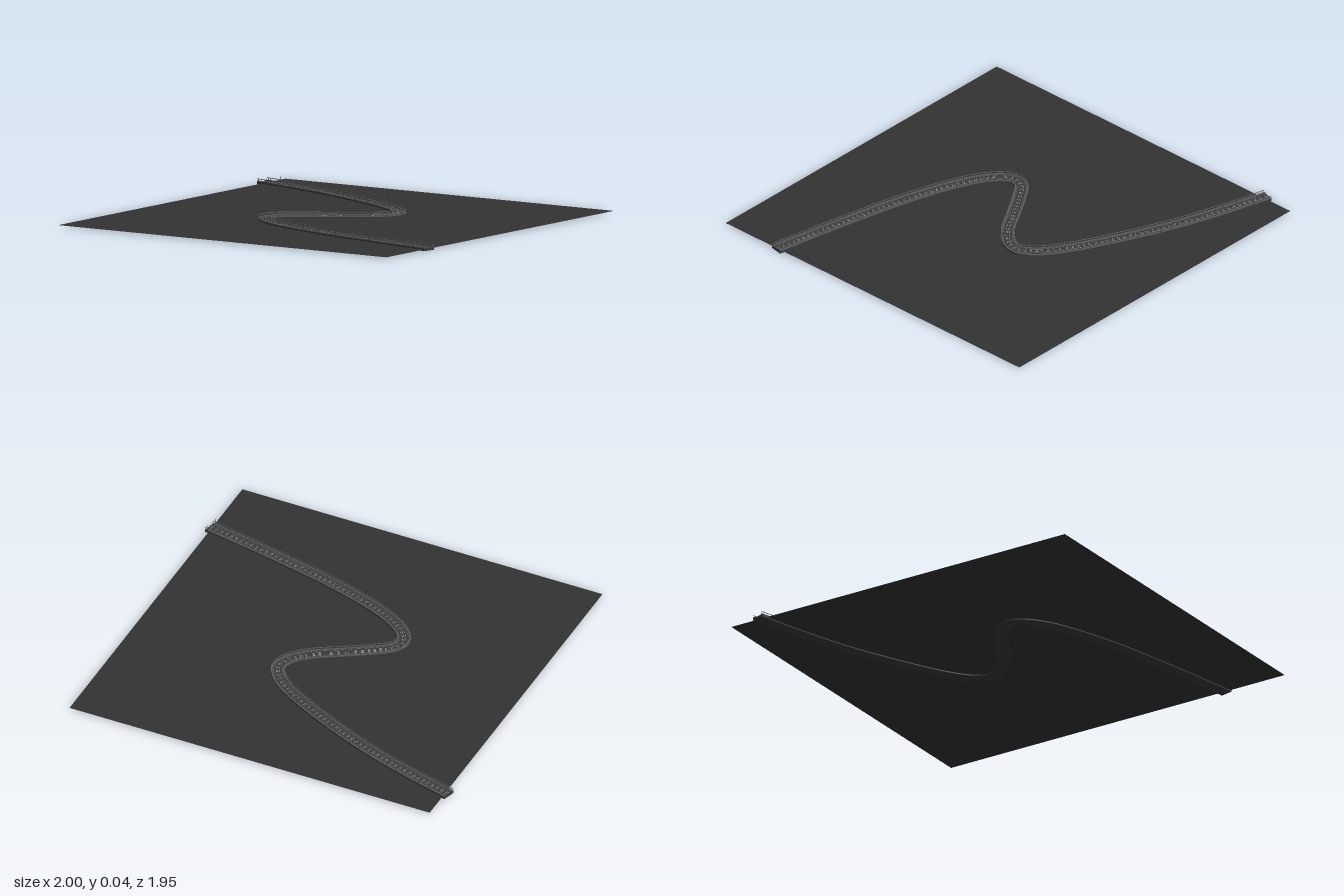
import * as THREE from 'three';
import { mergeGeometries } from 'three/addons/utils/BufferGeometryUtils.js';

// Centre line of the road as [x, z]
const path = new THREE.CatmullRomCurve3([
  [-0.991, -0.81], [-0.72, -0.735], [-0.45, -0.645], [-0.185, -0.53], [0.03, -0.42],
  [0.136, -0.345], [0.188, -0.28], [0.2, -0.235], [0.18, -0.175], [0.11, -0.1],
  [-0.025, -0.015], [-0.16, 0.07], [-0.238, 0.13], [-0.262, 0.19], [-0.24, 0.245],
  [-0.16, 0.315], [-0.025, 0.38], [0.24, 0.465], [0.615, 0.55], [0.991, 0.622],
].map(([x, z]) => new THREE.Vector3(x, 0, z)));
path.arcLengthDivisions = 1000;
const length = path.getLength();

// Point beside the centre line at arc fraction u
function roadPoint(u, side, y) {
  const p = path.getPointAt(u);
  const t = path.getTangentAt(u);
  return new THREE.Vector3(p.x - t.z * side, y, p.z + t.x * side);
}

// Sweep a closed [side, y] profile along the road, with hard edges and end caps
function sweep(profile, u0 = 0, u1 = 1, steps = 260) {
  const pos = [], index = [];
  const add = (u, [s, y]) => pos.push(...roadPoint(u, s, y).toArray());
  profile.forEach((a, i) => {
    const b = profile[(i + 1) % profile.length];
    const base = pos.length / 3;
    for (let k = 0; k <= steps; k++) {
      const u = u0 + (u1 - u0) * k / steps;
      add(u, a);
      add(u, b);
      if (k < steps) {
        const o = base + k * 2;
        index.push(o, o + 2, o + 3, o, o + 3, o + 1);
      }
    }
  });
  [u0, u1].forEach((u, end) => {
    const base = pos.length / 3;
    profile.forEach((p) => add(u, p));
    for (let i = 1; i < profile.length - 1; i++) {
      index.push(base, base + i + (end ? 1 : 0), base + i + (end ? 0 : 1));
    }
  });
  const g = new THREE.BufferGeometry();
  g.setAttribute('position', new THREE.Float32BufferAttribute(pos, 3));
  g.setIndex(index);
  g.computeVertexNormals();
  return g;
}

const bar = (s, w, y0, y1) => [[s - w / 2, y0], [s + w / 2, y0], [s + w / 2, y1], [s - w / 2, y1]];
const strip = (s, w, y) => [[s + w / 2, y], [s - w / 2, y]];

export function createModel() {
  const model = new THREE.Group();
  const add = (name, geometry, color) => {
    const mesh = new THREE.Mesh(geometry, new THREE.MeshStandardMaterial({ color }));
    mesh.name = name;
    model.add(mesh);
    return mesh;
  };

  // Flat ground sheet
  const ground = add('ground', new THREE.PlaneGeometry(1.946, 1.946).rotateX(-Math.PI / 2), 0x333333);
  ground.material.side = THREE.DoubleSide;
  ground.position.set(0.005, 0.006, -0.005);

  // Road deck
  add('roadDeck', sweep(bar(0, 0.066, 0, 0.012)), 0x3a3a3a);

  for (const side of [-1, 1]) {
    const name = side > 0 ? 'left' : 'right';
    // Raised kerb and slim guard rail
    add(name + 'Kerb', sweep(bar(side * 0.0295, 0.007, 0.012, 0.017)), 0x5c5c5c);
    add(name + 'GuardRail', sweep(bar(side * 0.032, 0.0016, 0.025, 0.028)), 0x666666);
    // Solid edge line
    add(name + 'EdgeLine', sweep(strip(side * 0.022, 0.0016, 0.0125)), 0x777777);
  }

  // Dashed lane lines
  const dashes = [];
  const dashCount = Math.round(length / 0.03);
  for (const s of [-0.008, 0, 0.008]) {
    for (let i = 0; i < dashCount; i++) {
      dashes.push(sweep(strip(s, 0.0018, 0.0126), (i + 0.2) / dashCount, (i + 0.75) / dashCount, 2));
    }
  }
  add('laneDashes', mergeGeometries(dashes), 0xbbbbbb);

  // Upright posts on both kerbs
  const uprights = (count, u0, u1, radius, top) => {
    const parts = [];
    for (let i = 0; i < count; i++) {
      for (const side of [-1, 1]) {
        const p = roadPoint(u0 + (u1 - u0) * i / (count - 1), side * 0.032, (top + 0.012) / 2);
        parts.push(new THREE.CylinderGeometry(radius, radius, top - 0.012, 6).translate(p.x, p.y, p.z));
      }
    }
    return mergeGeometries(parts);
  };
  add('railPosts', uprights(56, 0.004, 0.996, 0.0009, 0.026), 0x444444);
  add('tallPosts', uprights(8, 0.031, 0.996, 0.0013, 0.042), 0x444444);

  return model;
}
